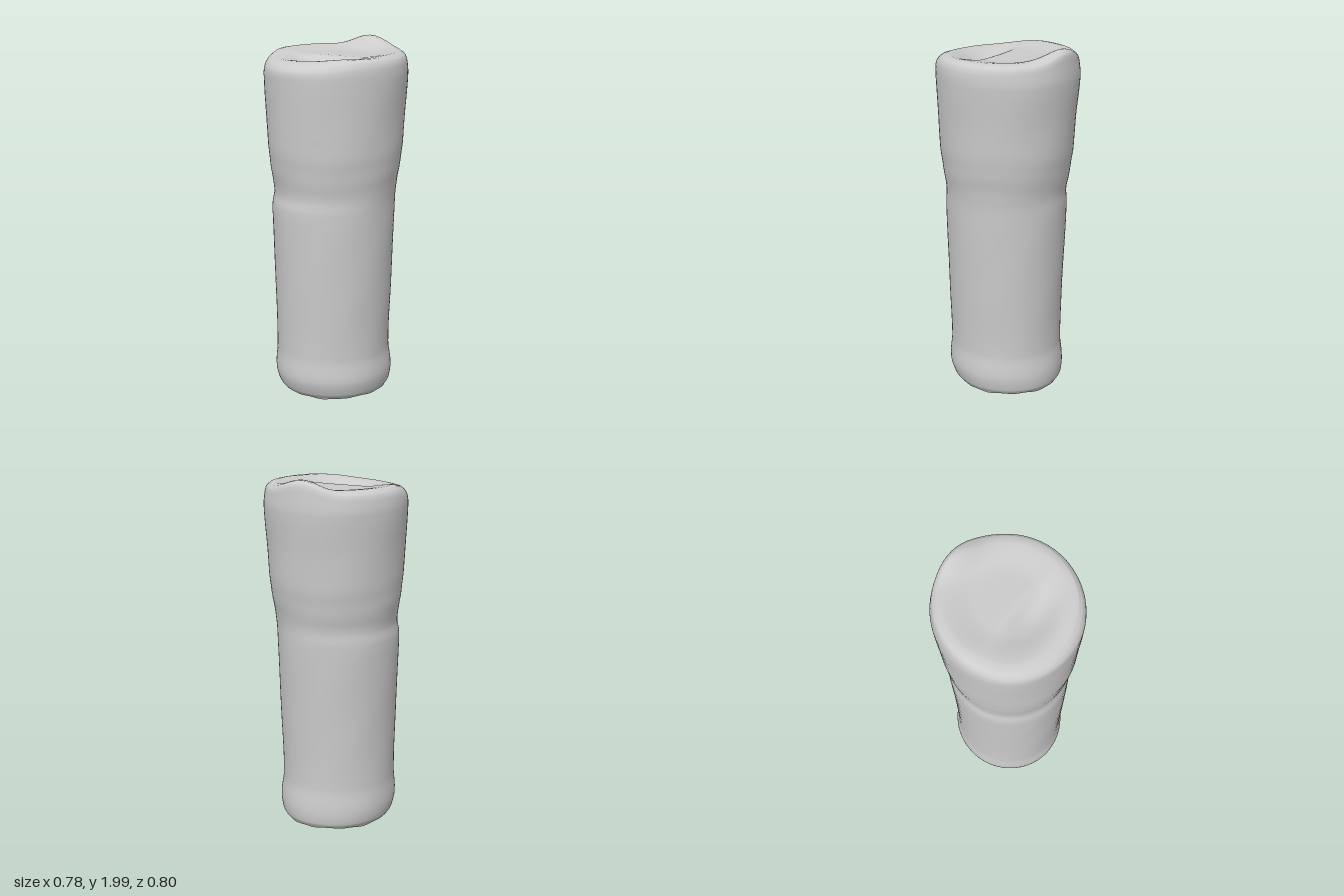
import * as THREE from 'three';

const SEGMENTS = 72;

// Side profile: height, x min, x max, z min, z max
const PROFILE = [
  [0.01, -0.3, 0.285, -0.3, 0.31],
  [0.04, -0.32, 0.305, -0.317, 0.335],
  [0.12, -0.33, 0.322, -0.322, 0.358],
  [0.25, -0.32, 0.31, -0.306, 0.35],
  [0.6, -0.325, 0.32, -0.315, 0.357],
  [1.0, -0.341, 0.332, -0.33, 0.367],
  [1.1, -0.342, 0.334, -0.333, 0.367],
  [1.17, -0.335, 0.336, -0.334, 0.356],
  [1.25, -0.347, 0.346, -0.346, 0.365],
  [1.4, -0.365, 0.365, -0.37, 0.385],
  [1.6, -0.378, 0.375, -0.382, 0.394],
  [1.82, -0.394, 0.387, -0.4, 0.402],
  [1.89, -0.388, 0.384, -0.393, 0.398],
  [1.925, -0.376, 0.37, -0.384, 0.38],
  [1.942, -0.355, 0.348, -0.365, 0.355],
];

const gauss = (d, w) => Math.exp(-(d * d) / (w * w));

// Uneven rim: drooping front and a raised lobe at the back
function rimOffset(x, z) {
  const droop = -0.032 * THREE.MathUtils.smoothstep(z, 0.12, 0.38);
  const lobe = 0.055 * gauss(x + 0.13, 0.15) * THREE.MathUtils.smoothstep(-z, 0.2, 0.34);
  return droop + lobe;
}

// Shallow dish with a diagonal step down into a pocket near the front
function dishOffset(x, z) {
  const r = Math.hypot(x, z);
  const dish = -0.022 * (1 - THREE.MathUtils.smoothstep(r, 0.16, 0.34));
  const across = z - 0.07 + 0.4 * (x - 0.04);
  const along = x - 0.04 - 0.4 * (z - 0.07);
  const pocket = -0.045 * THREE.MathUtils.smoothstep(across, -0.05, 0.045)
    * (1 - THREE.MathUtils.smoothstep(across, 0.06, 0.24)) * gauss(along, 0.19);
  return dish + pocket;
}

// Smoothly interpolated profile row at t in 0..1
function profileAt(t) {
  const last = PROFILE.length - 1;
  const i = Math.min(Math.floor(t * last), last - 1);
  const f = t * last - i;
  const row = (k) => PROFILE[THREE.MathUtils.clamp(k, 0, last)];
  return row(i).map((p1, c) => {
    const p0 = row(i - 1)[c], p2 = row(i + 1)[c], p3 = row(i + 2)[c];
    // Height-aware tangents avoid overshoot between unevenly spaced rows
    const h = row(i + 1)[0] - row(i)[0];
    if (c === 0) return p1 + h * f;
    const m1 = (p2 - p0) / (row(i + 1)[0] - row(i - 1)[0]) * h;
    const m2 = (p3 - p1) / (row(i + 2)[0] - row(i)[0]) * h;
    const f2 = f * f, f3 = f2 * f;
    return (2 * f3 - 3 * f2 + 1) * p1 + (f3 - 2 * f2 + f) * m1
      + (3 * f2 - 2 * f3) * p2 + (f3 - f2) * m2;
  });
}

// Point on the cross-section of a profile row, shrunk by scale
function ringPoint([, x0, x1, z0, z1], angle, scale) {
  const cx = (x0 + x1) / 2, cz = (z0 + z1) / 2;
  return [
    cx + Math.cos(angle) * (x1 - x0) / 2 * scale,
    cz + Math.sin(angle) * (z1 - z0) / 2 * scale,
  ];
}

function bodyGeometry() {
  const positions = [], indices = [];
  let rings = 0;
  const addRing = (pointAt) => {
    for (let s = 0; s < SEGMENTS; s++) positions.push(...pointAt((s / SEGMENTS) * Math.PI * 2));
    rings++;
  };

  // Wall, with faint hand-formed ripples
  const wallRings = 84;
  for (let k = 0; k <= wallRings; k++) {
    const row = profileAt(k / wallRings);
    const y = row[0];
    const lift = THREE.MathUtils.smoothstep(y, 1.8, 1.94);
    addRing((a) => {
      const ripple = 1 + 0.003 * Math.sin(a * 5 + y * 4) * Math.sin(y * 9 + a)
        + 0.003 * Math.sin(y * 45 + Math.sin(a * 2)) * gauss(y - 1.3, 0.15);
      const [x, z] = ringPoint(row, a, ripple);
      const ragged = k === 0 ? 0.005 * Math.sin(a * 9) * Math.sin(a * 4 + 1) : 0;
      return [x, y + lift * rimOffset(x, z) + ragged, z];
    });
  }

  // Sunken top
  const top = PROFILE[PROFILE.length - 1];
  const capRings = 24;
  for (let k = 1; k <= capRings; k++) {
    const scale = Math.max(1 - k / capRings, 0.001);
    const crown = 0.006 * Math.min(1, k / 2);
    addRing((a) => {
      const [x, z] = ringPoint(top, a, scale);
      return [x, top[0] + crown + rimOffset(x, z) + dishOffset(x, z), z];
    });
  }

  for (let r = 0; r < rings - 1; r++) {
    for (let s = 0; s < SEGMENTS; s++) {
      const n = (s + 1) % SEGMENTS;
      const a = r * SEGMENTS + s, b = r * SEGMENTS + n;
      indices.push(a, a + SEGMENTS, b, b, a + SEGMENTS, b + SEGMENTS);
    }
  }
  const geometry = new THREE.BufferGeometry();
  geometry.setAttribute('position', new THREE.Float32BufferAttribute(positions, 3));
  geometry.setIndex(indices);
  geometry.computeVertexNormals();
  return geometry;
}

export function createModel() {
  const group = new THREE.Group();
  group.name = 'vessel';
  // One continuous shell, open at the bottom
  const body = new THREE.Mesh(
    bodyGeometry(),
    new THREE.MeshStandardMaterial({ color: 0xcccccc, side: THREE.DoubleSide }),
  );
  body.name = 'body';
  group.add(body);
  return group;
}
